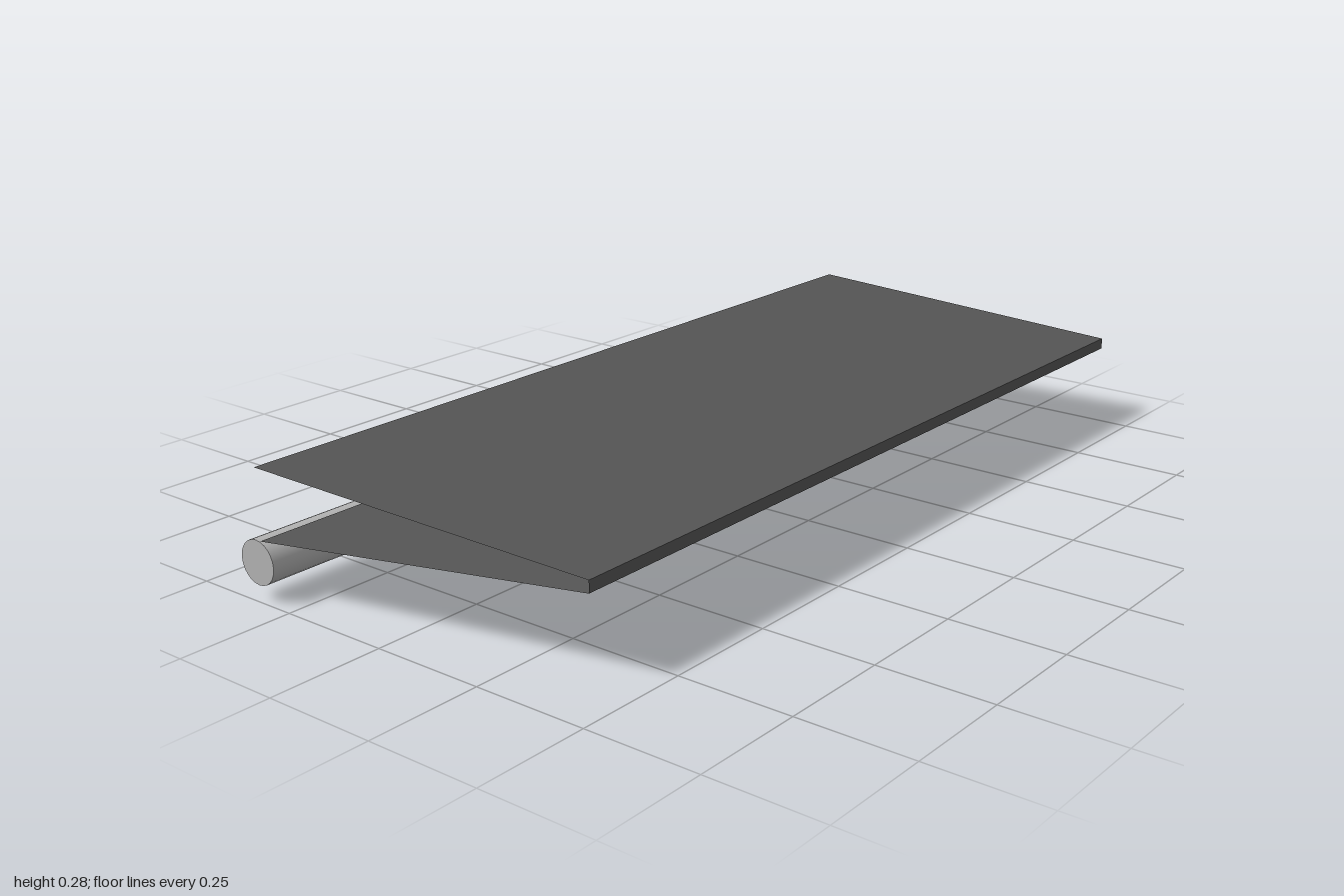
import * as THREE from 'three';
import { ConvexGeometry } from 'three/addons/geometries/ConvexGeometry.js';

const darkGrey = new THREE.MeshStandardMaterial({ color: 0x555555, side: THREE.DoubleSide });
darkGrey.name = 'darkGrey';
const lightGrey = new THREE.MeshStandardMaterial({ color: 0xb2b2b2 });
lightGrey.name = 'lightGrey';

// Flat sheets: each polygon is a convex list of [x, y, z] corners, counter-clockwise from outside
function sheets(polygons) {
  const positions = [];
  for (const p of polygons) {
    for (let i = 1; i < p.length - 1; i++) positions.push(...p[0], ...p[i], ...p[i + 1]);
  }
  const geometry = new THREE.BufferGeometry();
  geometry.setAttribute('position', new THREE.Float32BufferAttribute(positions, 3));
  geometry.computeVertexNormals();
  return geometry;
}

function add(parent, name, geometry, material) {
  const mesh = new THREE.Mesh(geometry, material);
  mesh.name = name;
  parent.add(mesh);
  return mesh;
}

// Open trough that cradles the bar; the sloping upper back side is left open
function bracketGeometry(x0, x1) {
  const profile = [[-0.42, 0.035], [-0.34, 0], [-0.27, 0.03], [-0.24, 0.1], [-0.27, 0.17]];
  const at = (x) => profile.map(([z, y]) => [x, y, z]);
  const a = at(x0), b = at(x1);
  const polygons = [a, b.slice().reverse()];
  for (let i = 0; i < profile.length - 1; i++) polygons.push([a[i], b[i], b[i + 1], a[i + 1]]);
  return sheets(polygons);
}

// Tapered rib hanging below the lower panel, given as shrinking rectangles
function ribGeometry(x) {
  const levels = [ // half width, front z, front y, back z, back y
    [0.05, 0.345, 0.179, -0.21, 0.137],
    [0.037, 0.305, 0.13, -0.165, 0.094],
    [0.02, 0.303, 0.115, -0.155, 0.08],
  ];
  const points = [];
  for (const [w, zf, yf, zb, yb] of levels) {
    for (const s of [-1, 1]) {
      points.push(new THREE.Vector3(x + s * w, yf, zf), new THREE.Vector3(x + s * w, yb, zb));
    }
  }
  return new ConvexGeometry(points);
}

export function createModel() {
  const model = new THREE.Group();
  model.name = 'hingedFlap';

  // Skewed wedge of thin panels, open at the back and the ends
  const edge = (y, z, xa, xb) => [[xa, y, z], [xb, y, z]];
  const [topBackR, topBackL] = edge(0.28, -0.32, -1, 0.89);
  const [topFrontR, topFrontL] = edge(0.21, 0.42, -0.89, 1);
  const [lowFrontR, lowFrontL] = edge(0.185, 0.42, -0.89, 1);
  const [lowBackR, lowBackL] = edge(0.13, -0.32, -1, 0.89);
  add(model, 'upperPanel', sheets([[topFrontR, topFrontL, topBackL, topBackR]]), darkGrey);
  add(model, 'frontEdge', sheets([[lowFrontR, lowFrontL, topFrontL, topFrontR]]), darkGrey);
  add(model, 'lowerPanel', sheets([[lowBackR, lowBackL, lowFrontL, lowFrontR]]), darkGrey);

  // Hinge bar in alternating light and dark lengths
  const stops = [-1, -0.74, -0.37, -0.09, 0.28, 0.56, 0.91];
  for (let i = 0; i < stops.length - 1; i++) {
    const length = stops[i + 1] - stops[i];
    const geometry = new THREE.CylinderGeometry(0.047, 0.047, length, 24).rotateZ(Math.PI / 2);
    const light = i % 2 === 0;
    const bar = add(model, light ? 'lightBarSection' : 'darkBarSection', geometry, light ? lightGrey : darkGrey);
    bar.position.set((stops[i] + stops[i + 1]) / 2, 0.083, -0.333);
  }

  // Three brackets, each with its rib
  for (const [x0, x1, ribX] of [[-0.7, -0.51, -0.608], [0.013, 0.2, 0.096], [0.726, 0.913, 0.824]]) {
    add(model, 'bracket', bracketGeometry(x0, x1), darkGrey);
    add(model, 'rib', ribGeometry(ribX), darkGrey);
  }
  return model;
}
